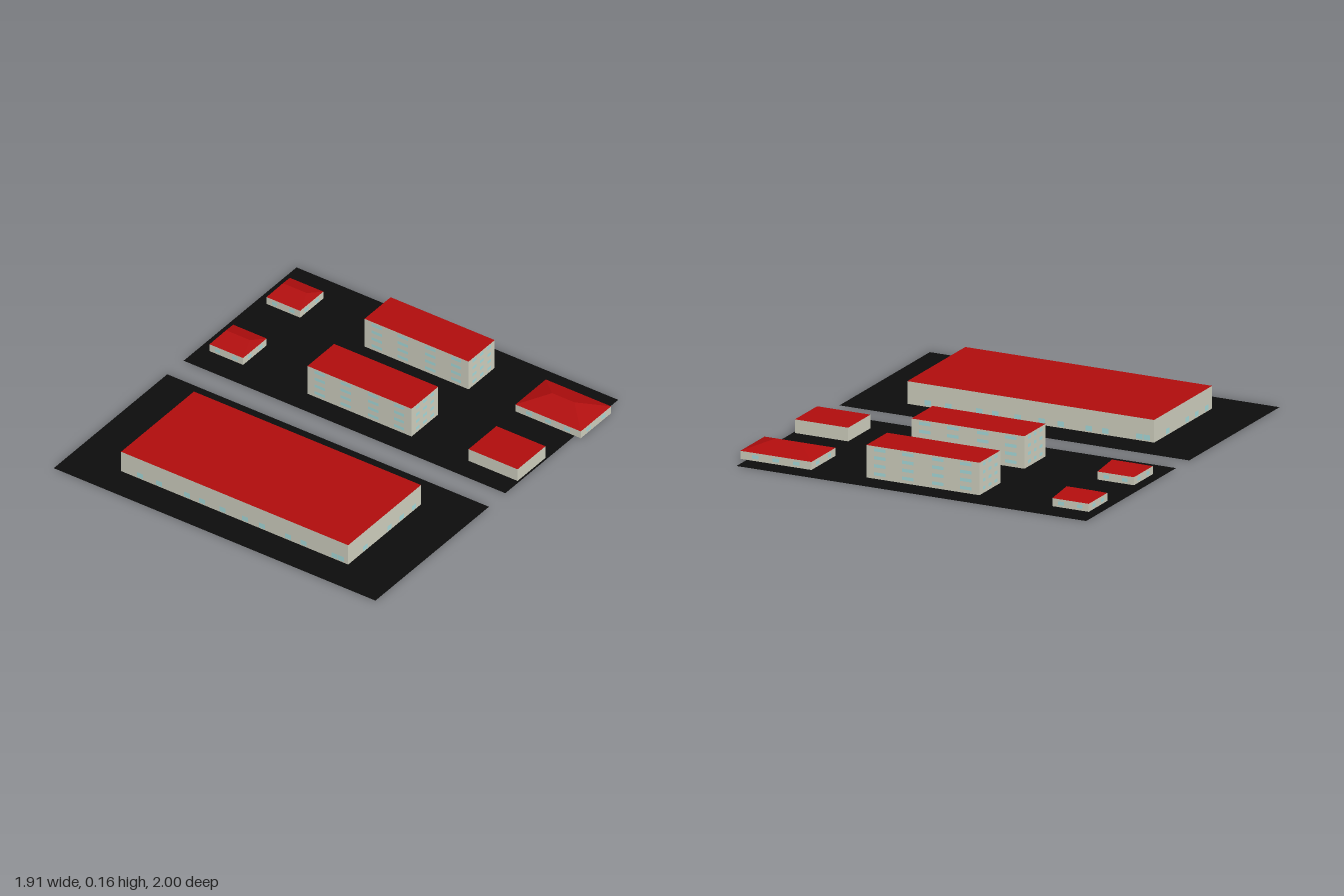
import * as THREE from 'three';

const mat = (color, side = THREE.DoubleSide) =>
  new THREE.MeshStandardMaterial({ color, side, flatShading: true });

export function createModel() {
  const model = new THREE.Group();
  model.name = 'campus';
  const asphalt = mat(0x0d0d0d), wall = mat(0xd0d0c0), red = mat(0xb00d0d);
  const glass = mat(0xa8dcdc, THREE.FrontSide);

  const add = (parent, name, geometry, material) => {
    const mesh = new THREE.Mesh(geometry, material);
    mesh.name = name;
    parent.add(mesh);
    return mesh;
  };
  const flat = (w, d, y) => new THREE.PlaneGeometry(w, d).rotateX(-Math.PI / 2).translate(0, y, 0);

  // Hipped roof: four eave corners and a ridge along x
  function hipRoof(w, d, y, top, ridge) {
    const a = w / 2, b = d / 2, r = ridge / 2;
    const g = new THREE.BufferGeometry();
    g.setAttribute('position', new THREE.Float32BufferAttribute([
      -a, y, b, a, y, b, a, y, -b, -a, y, -b, -r, top, 0, r, top, 0], 3));
    g.setIndex([0, 1, 5, 0, 5, 4, 1, 2, 5, 2, 3, 4, 2, 4, 5, 3, 0, 4]);
    const faceted = g.toNonIndexed();
    faceted.computeVertexNormals();
    return faceted;
  }

  // Rows of panes on the front (+z), mirrored to the back, and on both ends
  function windows(parent, w, d, rows, frontAt, endAt, paneW, paneH) {
    const group = new THREE.Group();
    group.name = 'windows';
    parent.add(group);
    const pane = (x, y, z, turn) => {
      const m = add(group, 'window', new THREE.PlaneGeometry(paneW, paneH), glass);
      m.position.set(x, y, z);
      m.rotation.y = turn;
    };
    for (const y of rows) {
      for (const x of frontAt) {
        pane(x, y, d / 2 + 0.001, 0);
        pane(-x, y, -d / 2 - 0.001, Math.PI);
      }
      for (const z of endAt) {
        pane(w / 2 + 0.001, y, z, Math.PI / 2);
        pane(-w / 2 - 0.001, y, -z, -Math.PI / 2);
      }
    }
  }

  // Open shell of four walls with a flat or hipped roof
  function building(name, [x0, x1], [z0, z1], height, hip) {
    const w = x1 - x0, d = z1 - z0;
    const g = new THREE.Group();
    g.name = name;
    g.position.set((x0 + x1) / 2, 0, (z0 + z1) / 2);
    const shell = new THREE.CylinderGeometry(Math.SQRT1_2, Math.SQRT1_2, height, 4, 1, true, Math.PI / 4)
      .scale(w, 1, d).translate(0, height / 2, 0);
    add(g, 'walls', shell, wall);
    add(g, 'roof', hip ? hipRoof(w, d, height, hip.top, hip.ridge) : flat(w, d, height), red);
    model.add(g);
    return { g, w, d };
  }

  // Two paved lots with a gap between them
  for (const [name, z0, z1] of [['frontLot', 0.065, 1], ['backLot', -1, -0.07]]) {
    add(model, name, flat(1.87, z1 - z0, 0), asphalt).position.set(-0.02, 0, (z0 + z1) / 2);
  }

  // Large hall
  const hall = building('hall', [-0.68, 0.64], [0.235, 0.835], 0.113);
  windows(hall.g, hall.w, hall.d, [0.02],
    [-0.55, -0.44, -0.275, -0.19, -0.07, 0.06, 0.16, 0.31, 0.4, 0.58, 0.62],
    [-0.24, -0.14, -0.04, 0.16], 0.035, 0.026);

  // Two long four-storey blocks
  for (const z of [[-0.41, -0.19], [-0.875, -0.66]]) {
    const b = building('longBlock', [-0.32, 0.285], z, 0.162);
    windows(b.g, b.w, b.d, [0.025, 0.065, 0.105, 0.145],
      [-0.23, -0.08, 0.08, 0.23], [-0.06, 0, 0.06], 0.06, 0.016);
    b.g.getObjectByName('windows').children.forEach((p) => {
      if (Math.abs(p.position.x) > b.w / 2) p.scale.x = 0.5;
    });
  }

  // Low flat-roofed block
  building('lowBlock', [0.62, 0.905], [-0.415, -0.185], 0.068);

  // Hip-roofed houses
  const lodge = building('lodge', [0.57, 0.95], [-0.892, -0.642], 0.04, { top: 0.085, ridge: 0.13 });
  windows(lodge.g, lodge.w, lodge.d, [0.02], [-0.11, 0, 0.11], [-0.06, 0.06], 0.035, 0.018);
  for (const z of [[-0.4, -0.205], [-0.867, -0.675]]) {
    const h = building('smallHouse', [-0.9, -0.705], z, 0.04, { top: 0.076, ridge: 0.14 });
    windows(h.g, h.w, h.d, [0.02], [-0.05, 0.05], [-0.045, 0.045], 0.03, 0.018);
  }
  return model;
}
